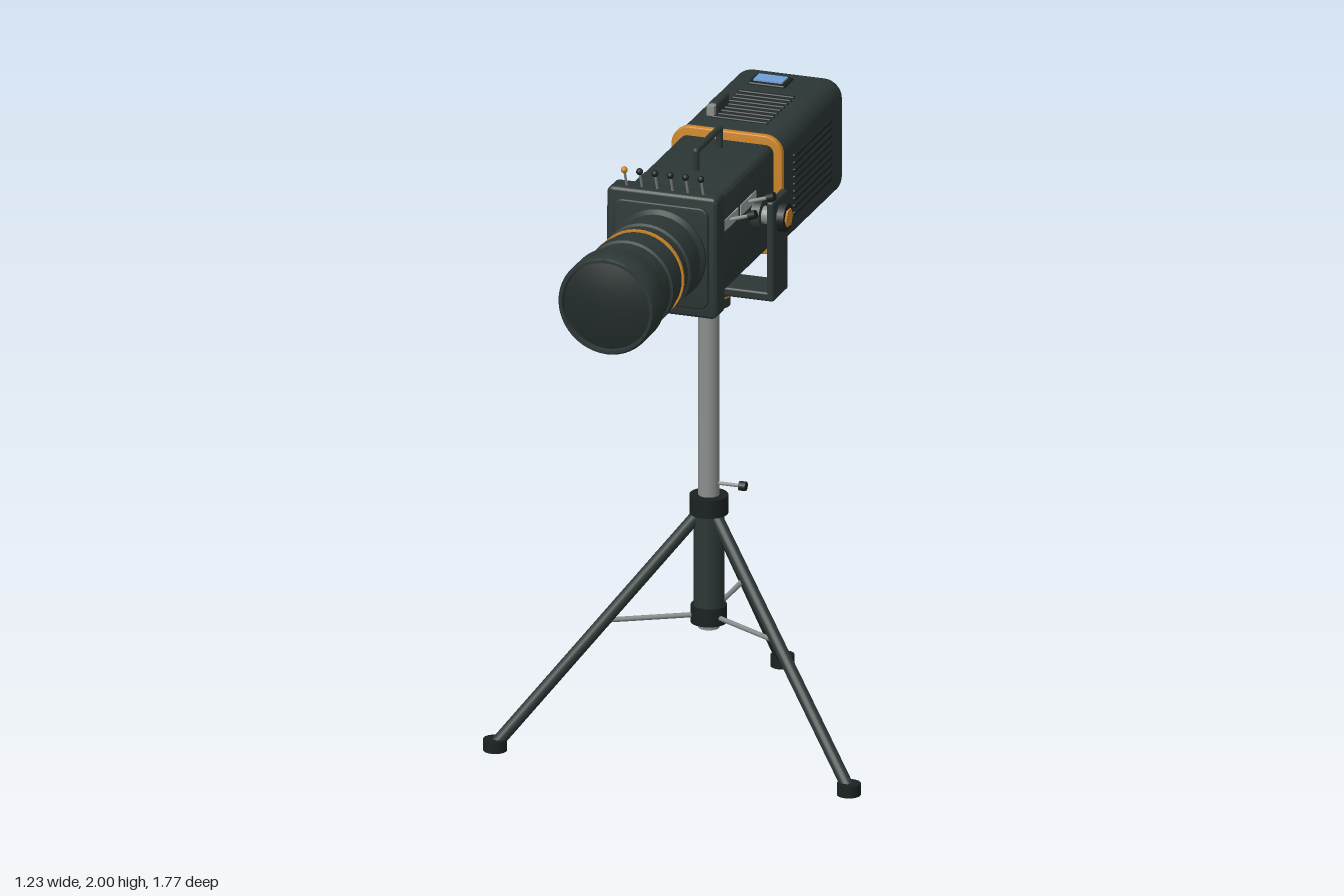
import * as THREE from 'three';
import { toCreasedNormals } from 'three/addons/utils/BufferGeometryUtils.js';
import { RoundedBoxGeometry } from 'three/addons/geometries/RoundedBoxGeometry.js';

const material = (name, color) => Object.assign(new THREE.MeshStandardMaterial({ color }), { name });

export function createModel() {
  const body = material('bodyCharcoal', 0x2c3735);
  const black = material('black', 0x1b2121);
  const steel = material('steel', 0x8c8e8e);
  const orange = material('orange', 0xcc8426);
  const blue = material('screenBlue', 0x6f9ed6);
  const plateGrey = material('plateGrey', 0x9da1a1);
  const glass = material('lensGlass', 0x222b2a);

  const model = new THREE.Group();
  model.name = 'followSpotlight';
  const AXIS = 1.733; // height of the optical axis
  const MAST = -0.053; // z of the stand

  function add(name, geometry, mat, x = 0, y = 0, z = 0, parent = model) {
    const mesh = new THREE.Mesh(geometry, mat);
    mesh.name = name;
    mesh.position.set(x, y, z);
    parent.add(mesh);
    return mesh;
  }

  // box given by its limits
  function block(name, mat, [x0, x1], [y0, y1], [z0, z1], r = 0) {
    const s = [x1 - x0, y1 - y0, z1 - z0];
    const geometry = r ? new RoundedBoxGeometry(...s, 3, r) : new THREE.BoxGeometry(...s);
    return add(name, geometry, mat, (x0 + x1) / 2, (y0 + y1) / 2, (z0 + z1) / 2);
  }

  // round bar between two points
  function rod(name, mat, a, b, r, sides = 12) {
    const p = new THREE.Vector3(...a), q = new THREE.Vector3(...b);
    const dir = q.clone().sub(p);
    const mesh = add(name, new THREE.CylinderGeometry(r, r, dir.length(), sides), mat);
    mesh.position.copy(p).add(q).multiplyScalar(0.5);
    mesh.quaternion.setFromUnitVectors(new THREE.Vector3(0, 1, 0), dir.normalize());
    return mesh;
  }

  // bent bar handle
  function handle(name, points, r) {
    for (let i = 1; i < points.length; i++) rod(name, body, points[i - 1], points[i], r);
    for (const p of points.slice(1, -1)) add(name + 'Corner', new THREE.SphereGeometry(r, 12, 8), body, ...p);
  }

  // turned part with crisp edges; profile is [radius, position] pairs
  function turned(name, mat, profile, sides = 48) {
    const points = profile.map(([r, t]) => new THREE.Vector2(r, t));
    return add(name, toCreasedNormals(new THREE.LatheGeometry(points, sides), 0.6), mat);
  }

  // rounded rectangle extruded along z with bevelled ends
  function prism(name, mat, w, h, r, z0, z1, bevel) {
    const x = w / 2, y = h / 2, s = new THREE.Shape();
    s.absarc(x - r, y - r, r, 0, Math.PI / 2);
    s.absarc(r - x, y - r, r, Math.PI / 2, Math.PI);
    s.absarc(r - x, r - y, r, Math.PI, Math.PI * 1.5);
    s.absarc(x - r, r - y, r, Math.PI * 1.5, Math.PI * 2);
    const geometry = new THREE.ExtrudeGeometry(s, {
      depth: z1 - z0 - 2 * bevel, curveSegments: 8, bevelSegments: 3,
      bevelSize: bevel, bevelOffset: -bevel, bevelThickness: bevel,
    });
    return add(name, toCreasedNormals(geometry, 0.6), mat, 0, AXIS, z0 + bevel);
  }

  // lens barrel
  const lens = turned('lensBarrel', body, [
    [0, 0.36], [0.15, 0.36], [0.15, 0.395], [0.138, 0.41], [0.14, 0.47], [0.148, 0.473], [0.148, 0.522],
    [0.14, 0.525], [0.14, 0.63], [0.148, 0.633], [0.148, 0.68], [0.14, 0.683], [0.14, 0.755], [0.15, 0.76],
    [0.158, 0.78], [0.158, 0.87], [0.152, 0.88], [0.143, 0.88], [0.14, 0.86], [0, 0.86],
  ]);
  const focus = turned('focusRing', orange, [[0.13, 0.57], [0.146, 0.57], [0.146, 0.58], [0.13, 0.58]]);
  const front = turned('frontGlass', glass, [[0.142, 0.865], [0.1, 0.876], [0.05, 0.883], [0, 0.885]]);
  for (const part of [lens, focus, front]) {
    part.rotation.x = Math.PI / 2;
    part.position.y = AXIS;
  }

  // iris and shutter frame with a row of levers
  prism('gateFrame', body, 0.36, 0.395, 0.02, 0.297, 0.375, 0.01);
  prism('gateFacePlate', body, 0.31, 0.33, 0.03, 0.37, 0.385, 0.005);
  for (let i = 0; i < 6; i++) {
    const x = (i - 2.5) * 0.05;
    rod('leverStem', steel, [x, 1.92, 0.34], [x, 1.985, 0.365], 0.004, 8);
    add('leverKnob', new THREE.SphereGeometry(0.011, 12, 8), i ? black : orange, x, 1.988, 0.366);
  }

  // middle body with top and side handles
  prism('middleBody', body, 0.305, 0.33, 0.025, -0.22, 0.305, 0.005);
  handle('topHandle', [[0, 1.88, 0.065], [0, 1.96, 0.065], [0, 1.96, -0.15], [0, 1.88, -0.15]], 0.011);
  handle('sideHandle', [[-0.14, 1.805, 0.225], [-0.222, 1.805, 0.225], [-0.222, 1.67, 0.225], [-0.14, 1.67, 0.225]], 0.01);

  // slotted scales with zoom and focus knobs
  for (const [z0, z1, zk] of [[0.11, 0.26, 0.185], [-0.05, 0.09, 0.016]]) {
    block('scalePlate', plateGrey, [0.15, 0.156], [1.775, 1.81], [z0, z1]);
    rod('adjusterStem', steel, [0.15, 1.795, zk], [0.22, 1.818, zk], 0.006, 8);
    rod('adjusterKnob', black, [0.217, 1.817, zk], [0.24, 1.825, zk], 0.014);
  }

  // lamp housing
  prism('orangeCollar', orange, 0.362, 0.387, 0.06, -0.236, -0.214, 0.003);
  prism('lampHousing', body, 0.35, 0.375, 0.06, -0.79, -0.235, 0.022);
  for (let i = 0; i < 9; i++) {
    const y = AXIS + (i - 4) * 0.0235;
    for (const s of [-1, 1])
      add('sideVentSlat', new RoundedBoxGeometry(0.02, 0.012, 0.34, 2, 0.005), black, s * 0.173, y, -0.5);
    add('topVentSlat', new RoundedBoxGeometry(0.185, 0.014, 0.012, 2, 0.005), black, 0, 1.92, -0.575 + i * 0.03);
  }

  // latch, screen and underside sockets
  block('topLatch', body, [-0.112, -0.08], [1.91, 1.96], [-0.465, -0.35], 0.01);
  block('latchTip', steel, [-0.108, -0.084], [1.925, 1.955], [-0.352, -0.33]);
  block('screenFrame', black, [-0.088, 0.033], [1.91, 1.928], [-0.73, -0.645], 0.006);
  block('screen', blue, [-0.075, 0.02], [1.927, 1.933], [-0.715, -0.66]);
  [0.065, 0.022, -0.021, -0.064].forEach((x, i) => {
    rod('socketRing', black, [x, 1.56, -0.61], [x, 1.541, -0.61], 0.019, 20);
    rod('socket', [steel, orange, steel, blue][i], [x, 1.55, -0.61], [x, 1.536, -0.61], 0.013, 16);
  });

  // rear fan grille and handles
  rod('fanDisc', black, [0, AXIS, -0.78], [0, AXIS, -0.798], 0.093, 40);
  for (const r of [0.025, 0.05, 0.075])
    add('grilleRing', new THREE.TorusGeometry(r, 0.003, 6, 36), steel, 0, AXIS, -0.8);
  for (let i = 0; i < 12; i++) {
    const c = Math.cos(i * Math.PI / 6), s = Math.sin(i * Math.PI / 6);
    rod('grilleSpoke', steel, [c * 0.015, AXIS + s * 0.015, -0.8], [c * 0.085, AXIS + s * 0.085, -0.8], 0.0025, 6);
  }
  for (const x of [-0.126, 0.126])
    handle('rearHandle', [[x, 1.815, -0.77], [x, 1.815, -0.875], [x, 1.65, -0.875], [x, 1.65, -0.77]], 0.0105);

  // yoke with tilt pivots
  block('yokeBase', body, [-0.235, 0.235], [1.475, 1.505], [-0.12, 0.014], 0.008);
  for (const s of [-1, 1]) {
    const at = (d) => [s * d, AXIS, MAST];
    add('yokeArm', new RoundedBoxGeometry(0.024, 0.325, 0.134, 3, 0.008), body, s * 0.223, 1.6385, MAST);
    rod('pivotBoss', body, at(0.14), at(0.18), 0.05, 28);
    rod('pivotShaft', steel, at(0.17), at(0.215), 0.028, 24);
    rod('pivotKnob', black, at(0.233), at(0.258), 0.045, 12);
    rod('pivotCap', orange, at(0.25), at(0.264), 0.03, 6);
  }

  // mast and its fittings
  const column = (name, mat, r, y0, y1) => rod(name, mat, [0, y0, MAST], [0, y1, MAST], r, 32);
  column('yokeFlange', body, 0.08, 1.463, 1.477);
  column('swivelRing', orange, 0.076, 1.455, 1.464);
  column('mastSocket', body, 0.067, 1.42, 1.456);
  column('mast', steel, 0.033, 0.36, 1.43);
  column('tripodHead', black, 0.06, 0.735, 0.795);
  column('tripodSleeve', body, 0.048, 0.4, 0.74);
  column('braceCollar', black, 0.056, 0.378, 0.435);
  rod('lockStem', steel, [0.03, 0.835, MAST], [0.105, 0.835, MAST], 0.006, 8);
  rod('lockKnob', black, [0.1, 0.835, MAST], [0.122, 0.835, MAST], 0.015);

  // three tripod legs with braces and feet
  for (const angle of [30, 150, 270]) {
    const c = Math.cos(angle * Math.PI / 180), s = Math.sin(angle * Math.PI / 180);
    const at = (r, y) => [r * c, y, MAST + r * s];
    rod('leg', body, at(0.04, 0.725), at(0.66, 0.025), 0.02, 16);
    rod('brace', steel, at(0.04, 0.403), at(0.325, 0.403), 0.008, 8);
    rod('foot', black, at(0.667, 0), at(0.667, 0.037), 0.037, 24);
  }
  return model;
}
